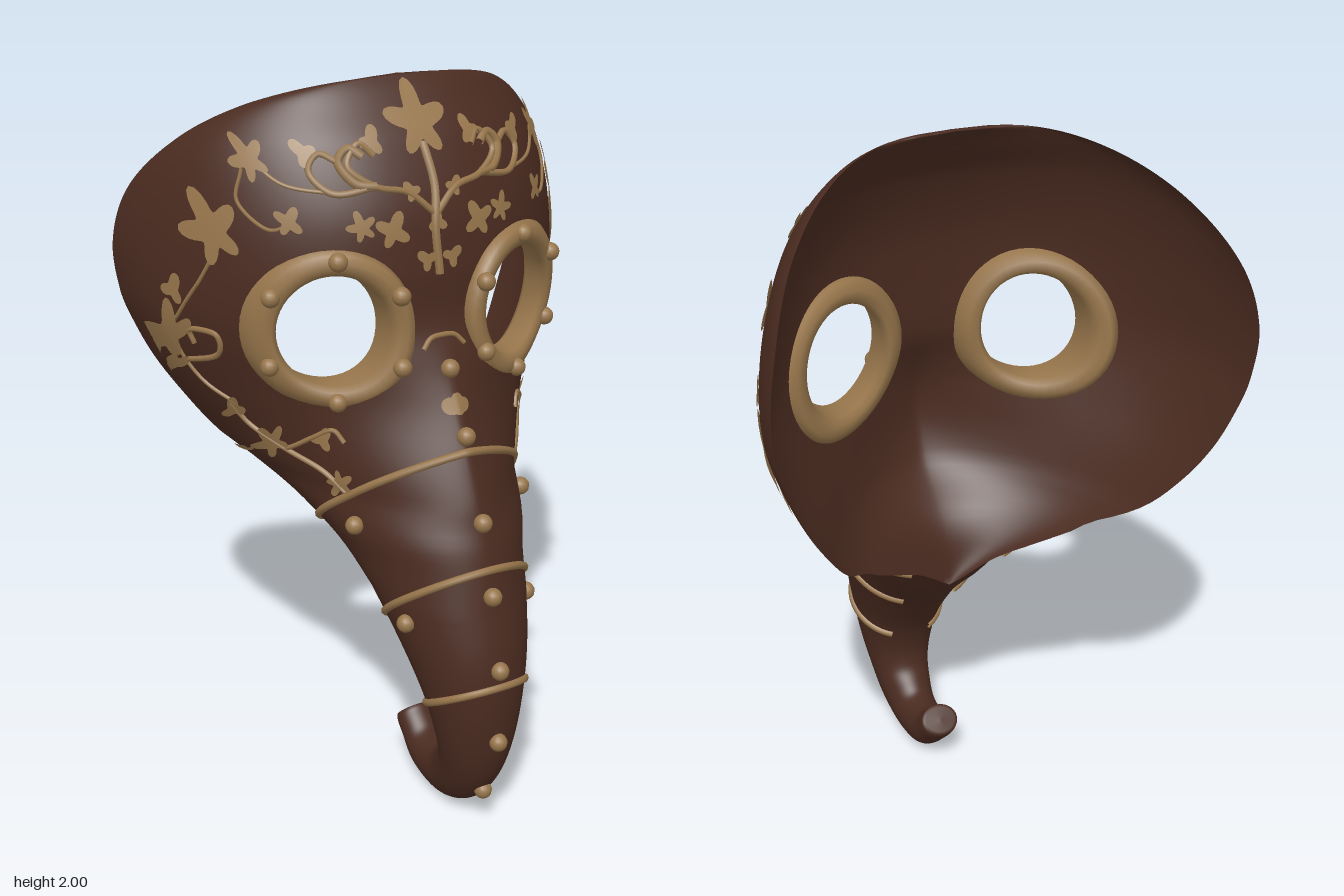
import * as THREE from 'three';
import { mergeVertices } from 'three/addons/utils/BufferGeometryUtils.js';

const leather = new THREE.MeshStandardMaterial({ color: 0x4a2b20 });
leather.name = 'brown leather';
const gold = new THREE.MeshStandardMaterial({ color: 0x96754b, side: THREE.DoubleSide });
gold.name = 'old gold';

// height, half width, front z, side z
const FACE = [
  [2, 0, -0.06, -0.06], [1.975, 0.25, -0.035, -0.115], [1.93, 0.38, 0.0, -0.2], [1.85, 0.5, 0.06, -0.31],
  [1.7, 0.6, 0.125, -0.45], [1.55, 0.638, 0.15, -0.5], [1.4, 0.628, 0.16, -0.5], [1.3, 0.595, 0.2, -0.49],
  [1.2, 0.55, 0.25, -0.47], [1.1, 0.49, 0.3, -0.43], [1, 0.42, 0.345, -0.36], [0.95, 0.365, 0.365, -0.28],
  [0.9, 0.315, 0.38, -0.12], [0.85, 0.28, 0.4, -0.01], [0.78, 0.24, 0.42, 0.08], [0.68, 0.205, 0.445, 0.2],
];
// height, two roundness powers, lining depth behind the front
const ROUND = [
  [2, 2.5, 0.63, 0.02], [1.55, 2.4, 0.6, 0.05], [1.4, 2, 0.5, 0.05], [1.2, 1.25, 0.46, 0.07],
  [1, 1.5, 0.56, 0.2], [0.85, 1.8, 0.52, 0.4], [0.68, 2, 0.5, 0.49],
];
// height, how far the section wraps round (1 = closed), depth of the back
const WRAP = [[2, 0.5, 0.3], [1, 0.5, 0.3], [0.95, 0.52, 0.3], [0.9, 0.6, 0.38], [0.85, 0.7, 0.3], [0.78, 0.83, 0.22], [0.68, 1, 0.245]];
// beak rings: front z, front y, back z, back y, half width
const BEAK = [
  [0.445, 0.68, -0.045, 0.68, 0.205], [0.475, 0.56, 0.1, 0.54, 0.172], [0.485, 0.45, 0.215, 0.385, 0.139],
  [0.475, 0.3, 0.255, 0.28, 0.112], [0.44, 0.17, 0.25, 0.21, 0.09], [0.37, 0.07, 0.22, 0.17, 0.077],
  [0.28, 0.015, 0.19, 0.145, 0.067], [0.19, 0, 0.15, 0.14, 0.062], [0.1, 0.02, 0.11, 0.145, 0.06],
  [0.04, 0.07, 0.08, 0.168, 0.057], [-0.01, 0.13, 0.05, 0.195, 0.052], [0.018, 0.165, 0.022, 0.168, 0],
];

// smooth interpolation of one table column by its first column
function look(table, y, col) {
  let i = 0;
  while (i < table.length - 2 && y < table[i + 1][0]) i++;
  const slope = (k) => {
    const a = table[Math.max(k - 1, 0)], b = table[Math.min(k + 1, table.length - 1)];
    return (b[col] - a[col]) / (b[0] - a[0]);
  };
  const h = table[i + 1][0] - table[i][0], t = (y - table[i][0]) / h, t2 = t * t, t3 = t2 * t;
  return (2 * t3 - 3 * t2 + 1) * table[i][col] + (t3 - 2 * t2 + t) * h * slope(i)
    + (3 * t2 - 2 * t3) * table[i + 1][col] + (t3 - t2) * h * slope(i + 1);
}
const halfWidth = (y) => (y > 1.5 ? 0.64 * Math.max(0, 1 - ((y - 1.5) / 0.5) ** 2) ** 0.37 : look(FACE, y, 1));
const bulge = (u, y) => Math.max(0, 1 - Math.min(1, u) ** look(ROUND, y, 1)) ** look(ROUND, y, 2);

function faceZ(x, y) {
  const zm = look(FACE, y, 3);
  return zm + (look(FACE, y, 2) - zm) * bulge(Math.abs(x) / halfWidth(y), y);
}
const faceNormal = (x, y, e = 0.004) => new THREE.Vector3(
  (faceZ(x - e, y) - faceZ(x + e, y)) / (2 * e), (faceZ(x, y - e) - faceZ(x, y + e)) / (2 * e), 1).normalize();
// point on the front of the face, lifted by d along its normal
function onFace(x, y, d) {
  const lim = halfWidth(y) * 0.985;
  x = THREE.MathUtils.clamp(x, -lim, lim);
  return new THREE.Vector3(x, y, faceZ(x, y)).addScaledVector(faceNormal(x, y), d);
}

// whole outer skin: v is height on the face and runs on to 0 at the beak tip, t runs -1..1 round it
function skin(v, t) {
  if (v < 0.68) {
    const s = Math.min(10.9999, (0.68 - v) / 0.68 * 11), i = Math.floor(s), f = s - i, a = t * Math.PI;
    const at = (k) => BEAK[THREE.MathUtils.clamp(k, 0, 11)];
    const p = BEAK[0].map((_, c) => {
      const [k0, k1, k2, k3] = [at(i - 1)[c], at(i)[c], at(i + 1)[c], at(i + 2)[c]];
      return i === 10 ? k1 + (k2 - k1) * f
        : k1 + 0.5 * f * (k2 - k0 + f * (2 * k0 - 5 * k1 + 4 * k2 - k3 + f * (3 * (k1 - k2) + k3 - k0)));
    });
    const c = Math.cos(a) / 2;
    return new THREE.Vector3(p[4] * Math.sin(a), (p[1] + p[3]) / 2 + (p[1] - p[3]) * c, (p[0] + p[2]) / 2 + (p[0] - p[2]) * c);
  }
  const a = t * Math.PI * THREE.MathUtils.clamp(look(WRAP, v, 1), 0.5, 1);
  const zm = look(FACE, v, 3), s = Math.sin(a), c = Math.cos(a);
  const z = c >= 0 ? zm + (look(FACE, v, 2) - zm) * bulge(Math.abs(s), v) : zm + look(WRAP, v, 2) * c;
  return new THREE.Vector3(halfWidth(v) * s, v, z);
}
function lining(v, t) {
  const rim = skin(v, 1), u = Math.sin(t * Math.PI / 2), inset = 1 - 0.05 * Math.cos(t * Math.PI / 2);
  const deep = look(FACE, v, 2) - look(ROUND, v, 3);
  return new THREE.Vector3(rim.x * u * inset, v, rim.z + (deep - rim.z) * bulge(Math.abs(u), v));
}

// surface from rows and columns of points
function grid(rows, cols, point, flip = false, keep = () => true) {
  const pts = [], index = [];
  for (let r = 0; r <= rows; r++) for (let c = 0; c <= cols; c++) pts.push(point(r, c));
  for (let r = 0; r < rows; r++) for (let c = 0; c < cols; c++) {
    const a = r * (cols + 1) + c, b = a + 1, d = a + cols + 1, e = d + 1;
    if (!keep(pts[a].clone().add(pts[e]).multiplyScalar(0.5))) continue;
    index.push(...(flip ? [a, b, d, b, e, d] : [a, d, b, b, d, e]));
  }
  let g = new THREE.BufferGeometry().setFromPoints(pts);
  g.setIndex(index);
  g = mergeVertices(g, 1e-5);
  g.computeVertexNormals();
  return g;
}

const EYE = { x: 0.272, y: 1.4, rx: 0.13, ry: 0.15 };
const outsideEyes = (p) => ((Math.abs(p.x) - EYE.x) / (EYE.rx + 0.033)) ** 2 + ((p.y - EYE.y) / (EYE.ry + 0.033)) ** 2 > 1;
// the eye rings are flatter than the face: halfway between it and a tilted plane
const eyeZ = (x, y) => (faceZ(x, y) + 0.07 - 0.5 * (Math.abs(x) - EYE.x) + 0.08 * (y - EYE.y)) / 2;

export function createModel() {
  const model = new THREE.Group();
  const add = (name, geometry, material, parent = model) => {
    const m = new THREE.Mesh(geometry, material);
    m.name = name;
    parent.add(m);
    return m;
  };

  // leather shell with beak, and its lining
  const N = 84, C = 120, height = (r) => 2 - 1.32 * (r / N) ** 1.5;
  add('maskAndBeak', grid(N + 66, C, (r, c) => skin(r <= N ? height(r) : 0.68 * (1 - (r - N) / 66), c / C * 2 - 1), false, outsideEyes), leather);
  add('lining', grid(N, C, (r, c) => lining(Math.max(0.68, height(r)), c / C * 2 - 1), true, outsideEyes), leather);

  const ball = new THREE.SphereGeometry(0.025, 14, 10);
  const stud = (p, parent) => add('stud', ball, gold, parent).position.copy(p);

  // eye rings: a moulded profile swept round each opening
  const profile = [[0, -0.07], [0, 0.012], [0.015, 0.028], [0.035, 0.032], [0.055, 0.022], [0.068, -0.005], [0.062, -0.07], [0.04, -0.09], [0.015, -0.09], [0, -0.07]];
  for (const side of [-1, 1]) {
    const eye = new THREE.Group();
    eye.name = side > 0 ? 'leftEye' : 'rightEye';
    model.add(eye);
    const rim = (a, e, d) => {
      const x = side * EYE.x + Math.cos(a) * (EYE.rx + e), y = EYE.y + Math.sin(a) * (EYE.ry + e);
      return new THREE.Vector3(x, y, eyeZ(x, y) + d);
    };
    add('eyeRing', grid(48, 9, (r, c) => rim(r % 48 / 48 * Math.PI * 2, ...profile[c]), true), gold, eye);
    for (let i = 0; i < 6; i++) stud(rim(Math.PI / 2 + i * Math.PI / 3, 0.04, 0.03), eye);
  }

  // beak bands: sloping plane cuts through the skin, from front (z, y) to back (z, y), open behind
  for (const [fz, fy, bz, by, lo, hi, reach] of [[0.305, 1.09, -0.1, 0.78, 0.5, 1.25, 0.97], [0.42, 0.8, 0.1, 0.55, 0.4, 1, 0.85], [0.483, 0.48, 0.24, 0.34, 0.3, 0.68, 0.85]]) {
    const path = [];
    for (let i = 0; i <= 64; i++) {
      const t = reach * (i / 32 - 1);
      let a = lo, b = hi;
      for (let k = 0; k < 30; k++) {
        const m = (a + b) / 2, p = skin(m, t);
        if (p.y > by + (fy - by) * (p.z - bz) / (fz - bz)) b = m; else a = m;
      }
      path.push(skin(a, t));
    }
    add('beakBand', new THREE.TubeGeometry(new THREE.CatmullRomCurve3(path), 128, 0.011, 8), gold);
  }

  // studs down the ridge and sides of the beak
  for (const [x, y, z] of [[0, 1.29, 0.21], [0, 1.13, 0.295], [0, 0.92, 0.385], [0, 0.73, 0.44], [0, 0.53, 0.483], [0, 0.31, 0.483], [0, 0.115, 0.41],
    [0.258, 0.88, 0.16], [-0.258, 0.88, 0.16], [0.187, 0.64, 0.31], [-0.187, 0.64, 0.31]]) stud(new THREE.Vector3(x, y, z), model);

  // gilded leaves and vines lying on the face, leaves narrowed in x where the face turns away
  const leaf = (x, y, size, turn, lobes = 5) => {
    const n = faceNormal(x, y), narrow = n.z / Math.hypot(n.x, n.z);
    add('leaf', grid(4, 50, (r, c) => {
      const a = c / 50 * Math.PI * 2;
      const k = size * r / 4 * (0.46 + 0.54 * Math.abs(Math.cos(a * lobes / 2)) ** 2) * (0.88 + 0.12 * Math.cos(a));
      return onFace(x - Math.sin(a + turn) * k * narrow, y + Math.cos(a + turn) * k, 0.007);
    }), gold);
  };
  const vine = (w, pts, side = 1) => {
    const flat = new THREE.CatmullRomCurve3(pts.map(([x, y]) => new THREE.Vector3(x * side, y, 0))).getPoints(24);
    add('vine', new THREE.TubeGeometry(new THREE.CatmullRomCurve3(flat.map((p) => onFace(p.x, p.y, 0.002))), 40, w, 6), gold);
  };
  leaf(0, 1.89, 0.1, 0);
  leaf(0, 1.66, 0.035, 0, 3);
  leaf(0, 1.2, 0.042, Math.PI / 2, 2);
  leaf(0, 1.2, 0.03, 0, 2);
  vine(0.012, [[0, 1.85], [0.008, 1.75], [-0.005, 1.65], [0, 1.53]]);
  vine(0.007, [[-0.06, 1.34], [-0.035, 1.365], [0, 1.37], [0.035, 1.365], [0.06, 1.34]]);
  const leaves = [
    [0.125, 1.65, 0.055, 0.5, 4], [0.035, 1.57, 0.035, -0.9, 3], [0.06, 1.74, 0.03, -0.7, 3], [0.14, 1.86, 0.04, 0.4, 3],
    [0.2, 1.665, 0.045, -0.3], [0.3, 1.84, 0.04, -0.8, 3], [0.41, 1.82, 0.065, -0.5], [0.36, 1.68, 0.045, 0.6, 4],
    [0.5, 1.64, 0.11, -0.4], [0.575, 1.33, 0.12, -0.3], [0.55, 1.24, 0.06, 1, 3], [0.575, 1.47, 0.05, 0.4, 3],
    [0.45, 1.14, 0.05, -0.6, 3], [0.38, 1.06, 0.07, -1], [0.27, 0.985, 0.05, 2.2], [0.3, 1.1, 0.04, 0.5, 3], [0.4, 0.99, 0.045, -1.4, 3],
  ];
  const vines = [
    [0.009, [[0, 1.68], [0.07, 1.74], [0.15, 1.76], [0.21, 1.81], [0.17, 1.86], [0.14, 1.83]]],
    [0.012, [[0.15, 1.76], [0.2, 1.77], [0.23, 1.82], [0.2, 1.85], [0.17, 1.83]]],
    [0.009, [[0.15, 1.76], [0.26, 1.75], [0.3, 1.8], [0.27, 1.84], [0.23, 1.82]]],
    [0.005, [[0.26, 1.75], [0.36, 1.77], [0.41, 1.82]]],
    [0.005, [[0.43, 1.8], [0.45, 1.72], [0.4, 1.66], [0.35, 1.68]]],
    [0.005, [[0.5, 1.6], [0.53, 1.52], [0.56, 1.44], [0.58, 1.36]]],
    [0.006, [[0.57, 1.33], [0.54, 1.26], [0.5, 1.2], [0.45, 1.16]]],
    [0.008, [[0.54, 1.27], [0.5, 1.31], [0.51, 1.37], [0.55, 1.37], [0.54, 1.33]]],
    [0.008, [[0.46, 1.16], [0.42, 1.1], [0.36, 1.05], [0.3, 1.01], [0.26, 0.96]]],
    [0.007, [[0.36, 1.05], [0.32, 1.1], [0.28, 1.13], [0.26, 1.1]]],
  ];
  for (const side of [-1, 1]) {
    for (const [x, y, size, turn, lobes] of leaves) leaf(x * side, y, size, turn * side, lobes);
    for (const [w, pts] of vines) vine(w, pts, side);
  }
  return model;
}
